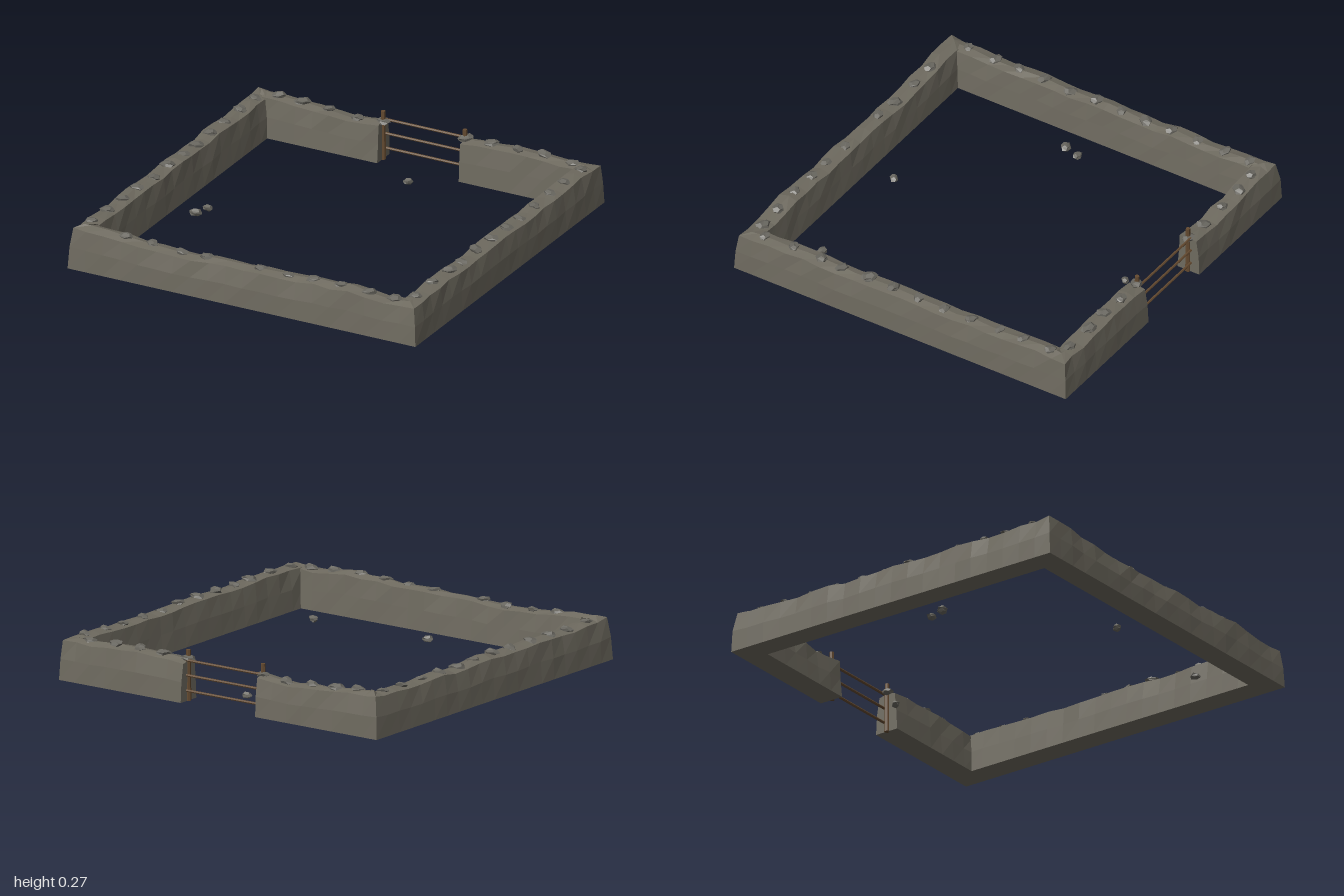
import * as THREE from 'three';

const stoneWall = new THREE.MeshStandardMaterial({ color: 0x6e6a5f, flatShading: true });
stoneWall.name = 'wall stone';
const looseStone = new THREE.MeshStandardMaterial({ color: 0x68665f, flatShading: true });
looseStone.name = 'loose stone';
const wood = new THREE.MeshStandardMaterial({ color: 0x644a30, flatShading: true });
wood.name = 'weathered wood';

function seeded(seed) {
  let s = seed;
  return () => (s = (s * 16807) % 2147483647) / 2147483647;
}

// Wall crest heights along each side, sampled evenly from -1 to 1
const crest = {
  back: [0.23, 0.222, 0.208, 0.196, 0.212, 0.212, 0.215, 0.222, 0.228, 0.215, 0.218],
  right: [0.218, 0.226, 0.212, 0.218, 0.208, 0.222, 0.215, 0.21, 0.222, 0.214, 0.21],
  front: [0.232, 0.224, 0.21, 0.196, 0.212, 0.214, 0.206, 0.222, 0.226, 0.206, 0.21],
  left: [0.23, 0.218, 0.212, 0.22, 0.208, 0.222, 0.212, 0.222, 0.214, 0.222, 0.232],
};
function heightAt(side, t) {
  const f = (THREE.MathUtils.clamp(t, -1, 1) + 1) * 5, i = Math.min(9, Math.floor(f));
  return THREE.MathUtils.lerp(crest[side][i], crest[side][i + 1], f - i);
}

// Point on one side of a square ring with half-size r; t = +-1 is the mitred corner
function ringPoint(side, t, r) {
  const a = Math.abs(t) === 1 ? t * r : t;
  return { back: [a, -r], front: [a, r], right: [r, a], left: [-r, a] }[side];
}

// One mitred, tapered wall running from one side of the gateway round to the other
function makeWall() {
  const rand = seeded(731), stations = [];
  const run = (side, from, to, n, skip) => {
    for (let i = skip; i <= n; i++) {
      const t = i === n ? to : from + ((to - from) * i) / n;
      stations.push([side, t]);
    }
  };
  run('back', 0.233, 1, 8, 0);
  run('right', -1, 1, 20, 1);
  run('front', 1, -1, 20, 1);
  run('left', 1, -1, 20, 1);
  run('back', -1, -0.235, 8, 1);

  // [ring half-size, height fraction, sideways wobble]
  const section = [
    [0.998, 0, 0], [0.993, 0.5, 0.003], [0.979, 0.94, 0.006], [0.93, 1, 0.006],
    [0.884, 0.95, 0.006], [0.873, 0.5, 0.003], [0.866, 0, 0],
  ];
  const pos = [], idx = [], m = section.length;
  stations.forEach(([side, t]) => {
    const h = heightAt(side, t) + (rand() - 0.5) * 0.01;
    for (const [r, fy, w] of section) {
      const [x, z] = ringPoint(side, t, r + (rand() - 0.5) * 2 * w);
      const y = fy * h + (fy > 0.9 ? (rand() - 0.5) * 0.006 : 0);
      pos.push(x, y, z);
    }
  });
  for (let s = 0; s < stations.length - 1; s++) {
    for (let k = 0; k < m; k++) {
      const a = s * m + k, b = s * m + ((k + 1) % m);
      idx.push(a, b, a + m, b, b + m, a + m);
    }
  }
  // Gateway end faces
  const e = (stations.length - 1) * m;
  for (let k = 1; k < m - 1; k++) idx.push(0, k + 1, k, e, e + k, e + k + 1);
  const g = new THREE.BufferGeometry();
  g.setAttribute('position', new THREE.Float32BufferAttribute(pos, 3));
  g.setIndex(idx);
  g.computeVertexNormals();
  const mesh = new THREE.Mesh(g, stoneWall);
  mesh.name = 'enclosureWall';
  return mesh;
}

// Irregular rounded rock
const rockRand = seeded(4242);
function makeRock(name, x, y, z, r, squash) {
  const g = new THREE.DodecahedronGeometry(r, 0), p = g.attributes.position;
  const v = new THREE.Vector3(), phase = rockRand() * 6;
  for (let i = 0; i < p.count; i++) {
    v.fromBufferAttribute(p, i);
    v.multiplyScalar(1 + 0.13 * Math.sin((v.x * 2.1 + v.y * 3.3 + v.z * 1.7) / r + phase));
    p.setXYZ(i, v.x, v.y, v.z);
  }
  g.computeVertexNormals();
  const rock = new THREE.Mesh(g, looseStone);
  rock.name = name;
  rock.position.set(x, y, z);
  rock.scale.set(1.12, squash, 0.85);
  rock.rotation.set((rockRand() - 0.5) * 0.3, (rockRand() - 0.5) * 1.2, (rockRand() - 0.5) * 0.3);
  return rock;
}

function cylinder(name, r0, r1, length, x, y, z, sides) {
  const mesh = new THREE.Mesh(new THREE.CylinderGeometry(r0, r1, length, sides), wood);
  mesh.name = name;
  mesh.position.set(x, y, z);
  return mesh;
}

export function createModel() {
  const model = new THREE.Group();
  model.name = 'stoneEnclosure';
  model.add(makeWall());

  // Capping stones along the crest of each side
  const caps = {
    back: [-0.825, -0.7, -0.545, -0.38, -0.235, 0.235, 0.39, 0.54, 0.685, 0.85],
    right: [-0.865, -0.7, -0.555, -0.385, -0.225, -0.075, 0.08, 0.23, 0.39, 0.515, 0.685, 0.86],
    front: [-0.7, -0.55, -0.38, -0.235, 0.075, 0.235, 0.385, 0.54, 0.7, 0.845],
    left: [-0.85, -0.7, -0.535, -0.38, -0.225, -0.08, 0.07, 0.225, 0.385, 0.54, 0.685, 0.85],
  };
  const cappingStones = new THREE.Group();
  cappingStones.name = 'cappingStones';
  for (const side of Object.keys(caps)) {
    for (const t of caps[side]) {
      const [x, z] = ringPoint(side, t, 0.93 + (rockRand() - 0.5) * 0.014);
      const y = heightAt(side, t) + (rockRand() - 0.5) * 0.012;
      cappingStones.add(makeRock('cappingStone', x, y, z, 0.031 + rockRand() * 0.009, 0.5));
    }
  }
  model.add(cappingStones);

  // Stones fallen inside the enclosure
  const fallen = [[0.023, -0.72, 0.024], [-0.71, -0.045 + 0.09, 0.025], [-0.735, 0.13, 0.03],
    [-0.045, 0.715, 0.026], [0.655, 0.69, 0.027]];
  for (const [x, z, r] of fallen) model.add(makeRock('fallenStone', x, r * 0.65, z, r, 0.7));

  // Gate posts and three rails
  const gate = new THREE.Group();
  gate.name = 'gate';
  for (const s of [-1, 1]) gate.add(cylinder('gatePost', 0.012, 0.015, 0.265, s * 0.235, 0.1325, -0.93, 7));
  for (const y of [0.055, 0.135, 0.213]) {
    const rail = cylinder('gateRail', 0.007, 0.007, 0.47, 0, y, -0.948, 6);
    rail.rotation.z = Math.PI / 2;
    gate.add(rail);
  }
  model.add(gate);
  return model;
}
